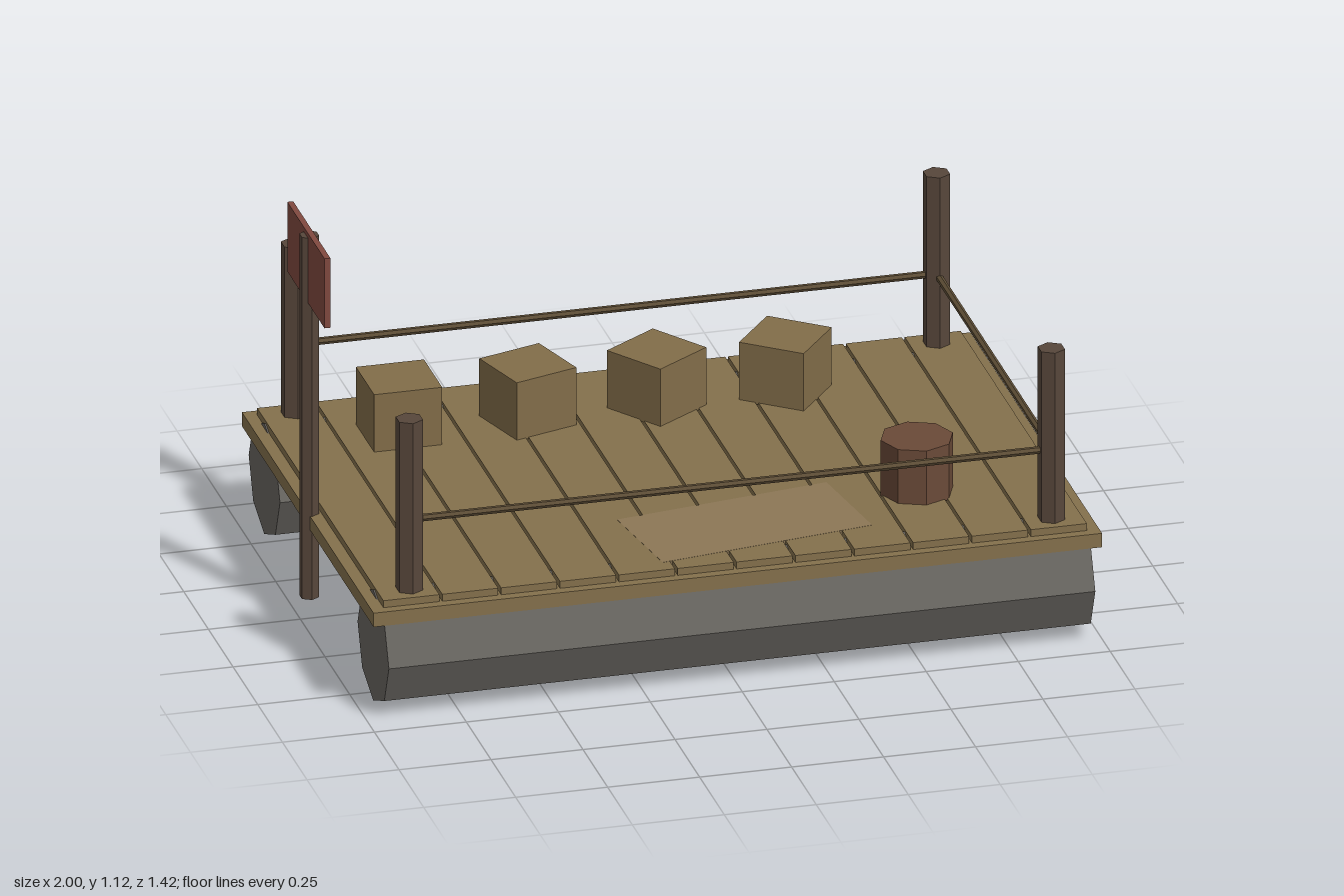
import * as THREE from 'three';

export function createModel() {
  const raft = new THREE.Group();
  raft.name = 'raft';
  const mat = (color) => new THREE.MeshStandardMaterial({ color, flatShading: true });
  const wood = mat(0x84704c), crateWood = mat(0x826d49), post = mat(0x57473b);
  const railMat = mat(0x5e4e36), grey = mat(0x686560), red = mat(0x80493f);
  const barrelMat = mat(0x6a4a38), cloth = mat(0x8c7756);

  const add = (name, geometry, material, x, y, z) => {
    const mesh = new THREE.Mesh(geometry, material);
    mesh.name = name;
    mesh.position.set(x, y, z);
    raft.add(mesh);
    return mesh;
  };
  const box = (w, h, d) => new THREE.BoxGeometry(w, h, d);
  const rod = (r, h, sides) => new THREE.CylinderGeometry(r, r, h, sides);

  // Octagonal floats under the long edges
  for (const s of [-1, 1]) {
    add('float', rod(0.159, 1.92, 8).rotateZ(Math.PI / 2), grey, 0.01, 0.16, s * 0.552);
  }

  // Deck slab with cross planks on top
  add('deck', box(1.98, 0.04, 1.335), wood, 0.01, 0.285, 0);
  for (let i = 0; i < 12; i++) {
    add('plank', box(0.152, 0.02, 1.28), wood, -0.87 + i * 0.16, 0.315, 0);
  }

  // Thin mat lying almost flush with the planks
  add('mat', box(0.6, 0.012, 0.3), cloth, 0.1, 0.3195, 0.4).rotation.y = 0.15;

  // Corner posts
  const [left, right, side] = [0.885, -0.86, 0.582];
  for (const x of [left, right]) {
    for (const s of [-1, 1]) add('cornerPost', rod(0.037, 0.53, 6), post, x, 0.55, s * side);
  }

  // Rails on three sides
  for (const s of [-1, 1]) {
    add('longRail', rod(0.01, left - right, 6).rotateZ(Math.PI / 2), railMat, (left + right) / 2, 0.525, s * side);
  }
  add('endRail', rod(0.01, 2 * side, 6).rotateX(Math.PI / 2), railMat, left, 0.525, 0);

  // Crates, each turned a little more than the last
  for (let i = 0; i < 4; i++) {
    add('crate', box(0.185, 0.17, 0.185), crateWood, -0.63 + i * 0.35, 0.405, -0.38).rotation.y = i * 0.3;
  }

  // Barrel
  add('barrel', rod(0.098, 0.16, 8), barrelMat, 0.59, 0.4, 0.318);

  // Sign on its pole
  add('signPole', rod(0.027, 1.04, 6), post, -0.976, 0.585, 0);
  add('signBoard', box(0.016, 0.2, 0.378), red, -0.977, 1.018, 0);

  return raft;
}
